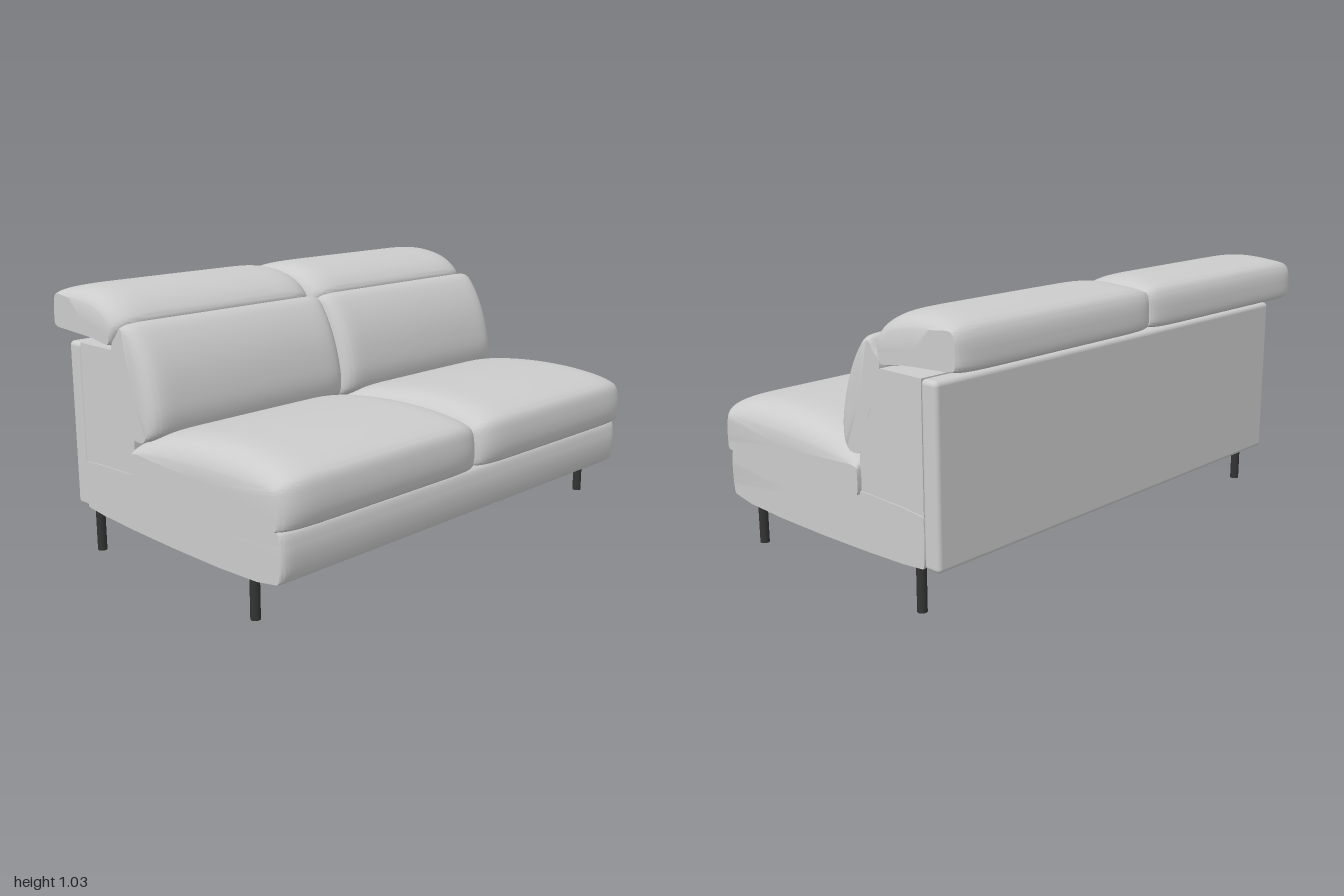
import * as THREE from 'three';
import { toCreasedNormals } from 'three/addons/utils/BufferGeometryUtils.js';
import { RoundedBoxGeometry } from 'three/addons/geometries/RoundedBoxGeometry.js';

const grey = new THREE.MeshStandardMaterial({ color: 0xcccccc });
const dark = new THREE.MeshStandardMaterial({ color: 0x333333 });

// Smooth closed outline through [z, y] control points
function outline(points, n) {
  const curve = new THREE.CatmullRomCurve3(points.map(([z, y]) => new THREE.Vector3(0, y, z)), true);
  return Array.from({ length: n }, (_, i) => curve.getPoint(i / n));
}

// Upholstered body: the middle outline shrinks to the side outline towards both ends.
// A higher power gives a tighter rounding at the ends.
function cushion(mid, side, halfWidth, power) {
  const n = mid.length * 6, steps = 14, aMax = 1.25;
  const m = outline(mid, n), s = outline(side, n);
  const pos = [], idx = [];
  for (let i = -steps; i <= steps; i++) {
    const a = Math.abs(i) / steps * aMax;
    const u = Math.sign(i) * Math.pow(Math.sin(a) / Math.sin(aMax), 2 / power);
    const k = (1 - Math.cos(a)) / (1 - Math.cos(aMax));
    for (let j = 0; j < n; j++) {
      const p = m[j].clone().lerp(s[j], k);
      pos.push(u * halfWidth, p.y, p.z);
    }
  }
  const rings = 2 * steps + 1;
  for (let i = 0; i < rings - 1; i++) for (let j = 0; j < n; j++) {
    const a = i * n + j, b = i * n + (j + 1) % n, c = a + n, d = b + n;
    idx.push(a, c, b, b, c, d);
  }
  // Flat side panels
  const centre = s.reduce((c, p) => c.addScaledVector(p, 1 / n), new THREE.Vector3());
  pos.push(-halfWidth, centre.y, centre.z, halfWidth, centre.y, centre.z);
  const last = (rings - 1) * n, c0 = rings * n;
  for (let j = 0; j < n; j++) {
    const k = (j + 1) % n;
    idx.push(j, k, c0, last + k, last + j, c0 + 1);
  }
  const g = new THREE.BufferGeometry();
  g.setAttribute('position', new THREE.Float32BufferAttribute(pos, 3));
  g.setIndex(idx);
  return toCreasedNormals(g, 0.55);
}

export function createModel() {
  const model = new THREE.Group();
  const add = (name, geometry, material, x = 0, y = 0, z = 0) => {
    const mesh = new THREE.Mesh(geometry, material);
    mesh.name = name;
    mesh.position.set(x, y, z);
    model.add(mesh);
  };

  // Base with a softly rounded front
  add('base', cushion(
    [[0.61, 0.17], [0.63, 0.195], [0.64, 0.25], [0.638, 0.30], [0.625, 0.345], [0.605, 0.355],
      [-0.48, 0.355], [-0.487, 0.35], [-0.487, 0.175], [-0.48, 0.17]],
    [[0.605, 0.17], [0.615, 0.195], [0.62, 0.25], [0.62, 0.30], [0.612, 0.345], [0.60, 0.355],
      [-0.48, 0.355], [-0.487, 0.35], [-0.487, 0.175], [-0.48, 0.17]],
    0.985, 50), grey);

  // Backrest body with a sloping front
  const wall = new THREE.Shape([[0.167, 0.35], [0.167, 0.5], [0.285, 0.82], [0.487, 0.82], [0.487, 0.35]]
    .map(([x, y]) => new THREE.Vector2(x, y)));
  const wallGeometry = new THREE.ExtrudeGeometry(wall, { depth: 1.96, bevelEnabled: false });
  wallGeometry.rotateY(Math.PI / 2).translate(-0.98, 0, 0);
  add('backrestBody', wallGeometry, grey);
  add('rearPanel', new RoundedBoxGeometry(1.97, 0.65, 0.074, 4, 0.018), grey, 0, 0.495, -0.523);

  const seat = cushion(
    [[0.62, 0.355], [0.655, 0.36], [0.673, 0.40], [0.673, 0.47], [0.655, 0.525], [0.60, 0.555],
      [0.48, 0.578], [0.32, 0.586], [0.15, 0.577], [0, 0.555], [-0.10, 0.525],
      [-0.162, 0.49], [-0.167, 0.48], [-0.167, 0.36], [-0.162, 0.355]],
    [[0.60, 0.355], [0.615, 0.36], [0.62, 0.40], [0.615, 0.46], [0.605, 0.488], [0.58, 0.491],
      [0.48, 0.492], [0.32, 0.49], [0.15, 0.483], [0, 0.474], [-0.10, 0.465],
      [-0.162, 0.455], [-0.167, 0.45], [-0.167, 0.36], [-0.162, 0.355]],
    0.498, 9);

  const back = cushion(
    [[-0.10, 0.505], [-0.055, 0.53], [-0.04, 0.59], [-0.052, 0.68], [-0.085, 0.78], [-0.135, 0.865],
      [-0.185, 0.915], [-0.222, 0.922], [-0.25, 0.89], [-0.285, 0.83], [-0.225, 0.66], [-0.17, 0.51], [-0.155, 0.5]],
    [[-0.11, 0.505], [-0.095, 0.53], [-0.095, 0.59], [-0.115, 0.68], [-0.15, 0.78], [-0.185, 0.855],
      [-0.21, 0.895], [-0.228, 0.905], [-0.25, 0.88], [-0.285, 0.83], [-0.225, 0.66], [-0.17, 0.51], [-0.155, 0.5]],
    0.488, 16);

  const head = cushion(
    [[-0.285, 0.832], [-0.255, 0.875], [-0.232, 0.925], [-0.265, 0.968], [-0.33, 1.006], [-0.40, 1.026],
      [-0.48, 1.033], [-0.57, 1.025], [-0.64, 1.005], [-0.662, 0.975], [-0.673, 0.92],
      [-0.67, 0.868], [-0.65, 0.857], [-0.55, 0.851], [-0.40, 0.842], [-0.30, 0.828]],
    [[-0.297, 0.84], [-0.288, 0.865], [-0.29, 0.895], [-0.31, 0.925], [-0.35, 0.953], [-0.41, 0.97],
      [-0.48, 0.979], [-0.57, 0.987], [-0.63, 0.99], [-0.645, 0.97], [-0.65, 0.92],
      [-0.648, 0.873], [-0.635, 0.865], [-0.55, 0.859], [-0.40, 0.85], [-0.31, 0.838]],
    0.491, 10);

  // Two places, left and right, with legs at the corners
  const leg = new THREE.CylinderGeometry(0.018, 0.018, 0.18, 24);
  for (const [side, s] of [['left', 1], ['right', -1]]) {
    add(side + 'SeatCushion', seat, grey, s * 0.5);
    add(side + 'BackCushion', back, grey, s * 0.492);
    add(side + 'Headrest', head, grey, s * 0.495);
    add(side + 'FrontLeg', leg, dark, s * 0.96, 0.09, 0.465);
    add(side + 'RearLeg', leg, dark, s * 0.96, 0.09, -0.447);
  }
  return model;
}
